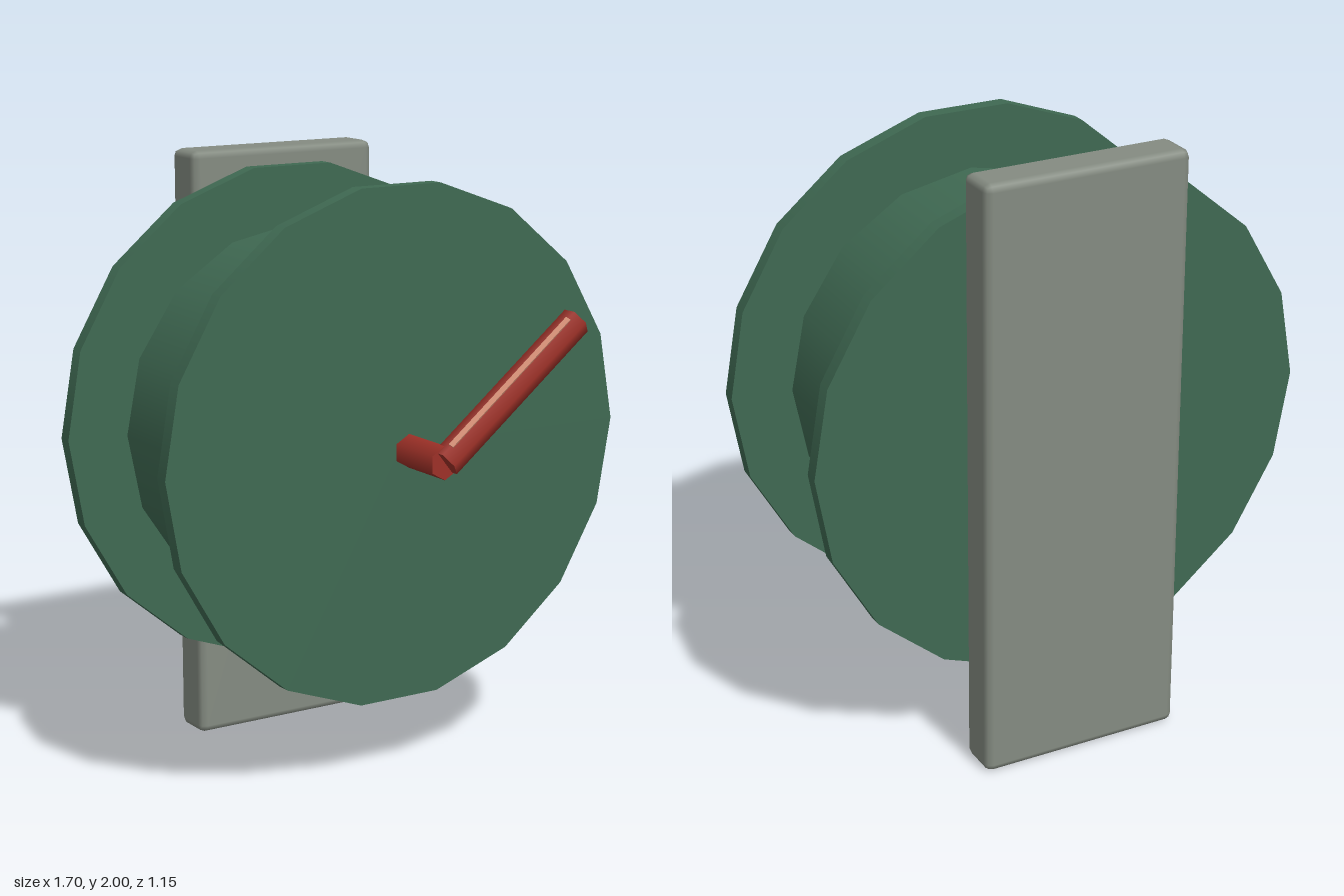
import * as THREE from 'three';
import { RoundedBoxGeometry } from 'three/addons/geometries/RoundedBoxGeometry.js';

const paint = (name, color) => {
  const m = new THREE.MeshStandardMaterial({ color });
  m.name = name;
  return m;
};

export function createModel() {
  const green = paint('green', 0x3f6952);
  const grey = paint('grey', 0x848b81);
  const red = paint('red', 0x9c3027);
  const tan = paint('tan', 0xd08a70);

  const group = new THREE.Group();
  const axleY = 1.105;

  const add = (name, geometry, material, parent = group) => {
    const mesh = new THREE.Mesh(geometry, material);
    mesh.name = name;
    parent.add(mesh);
    return mesh;
  };

  // Cylinder lying along z between two depths, centred on the axle
  const disc = (name, radius, z0, z1, sides, start, material) => {
    const geo = new THREE.CylinderGeometry(radius, radius, z1 - z0, sides, 1, false, start);
    geo.rotateX(Math.PI / 2);
    add(name, geo, material).position.set(0, axleY, (z0 + z1) / 2);
  };

  // Mounting plate with softened edges
  add('mountingPlate', new RoundedBoxGeometry(0.694, 2, 0.148, 1, 0.025), grey)
    .position.set(0, 1, -0.501);

  // Reel: two flanges, hub and wound drum
  disc('backFlange', 0.848, -0.427, -0.377, 18, Math.PI / 2, green);
  disc('frontFlange', 0.848, 0.225, 0.275, 18, Math.PI / 2, green);
  disc('hub', 0.3, -0.377, 0.225, 14, Math.PI / 2, green);
  disc('drum', 0.649, -0.35, 0.199, 16, 0, green);

  // Crank: short shaft, then a slanting hexagonal arm
  disc('crankShaft', 0.055, 0.325, 0.525, 6, 0, red);

  const arm = new THREE.Group();
  arm.name = 'crankArm';
  arm.position.set(0, axleY, 0.525);
  arm.rotation.z = -Math.atan2(0.5, 0.4);
  group.add(arm);
  const length = Math.hypot(0.5, 0.4);
  add('armBar', new THREE.CylinderGeometry(0.05, 0.05, length, 6), red, arm)
    .position.y = length / 2;

  // Worn pale edge along the arm
  const edge = add('wornEdge', new THREE.BoxGeometry(0.018, 0.57, 0.006), tan, arm);
  edge.position.set(-0.0425, 0.325, 0.0245);
  edge.rotation.y = -Math.PI / 3;

  return group;
}
